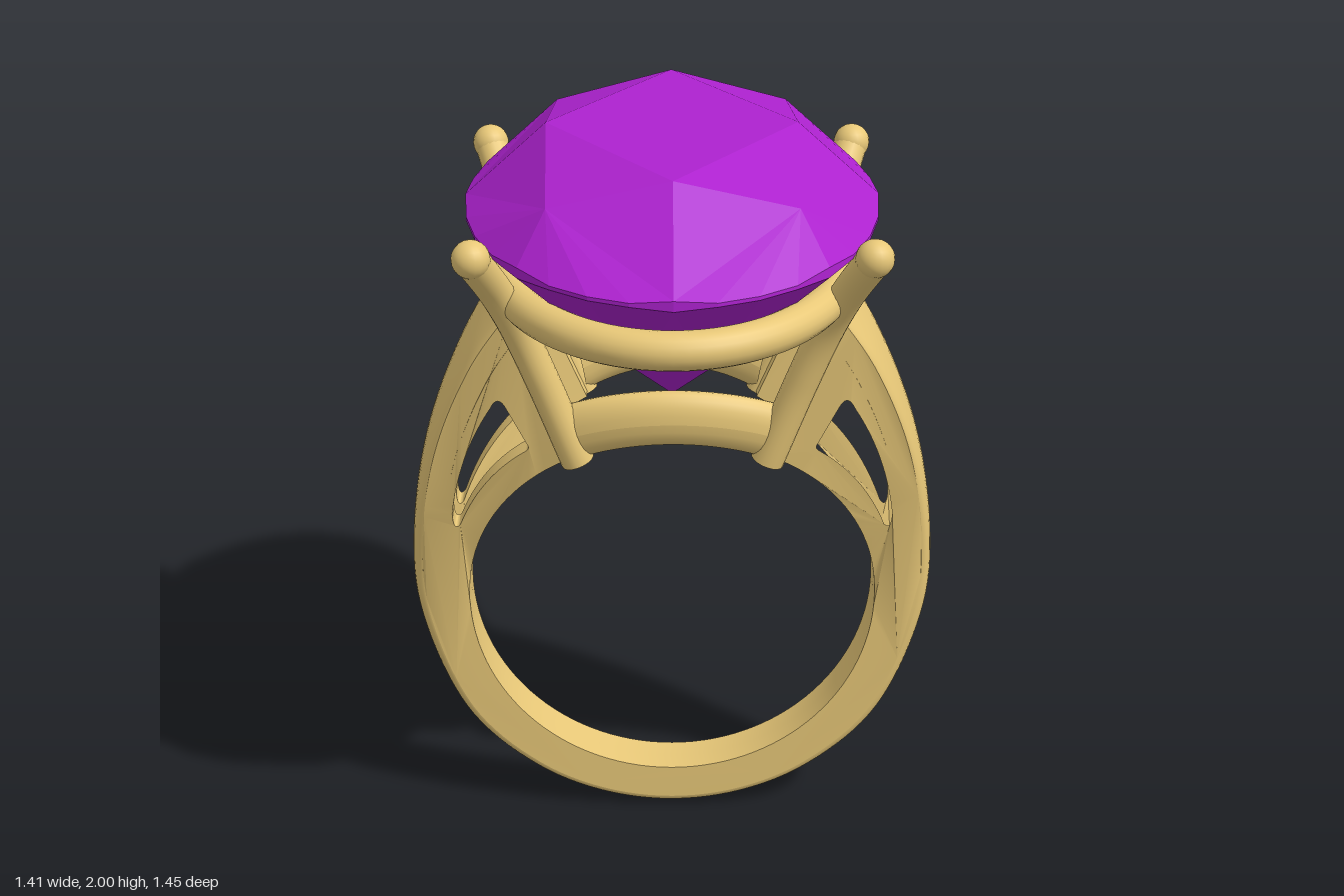
import * as THREE from 'three';
import { toCreasedNormals } from 'three/addons/utils/BufferGeometryUtils.js';

const gold = new THREE.MeshStandardMaterial({ color: 0xe8c878 });
const goldSkin = new THREE.MeshStandardMaterial({ color: 0xe8c878, side: THREE.DoubleSide });
const purple = new THREE.MeshStandardMaterial({ color: 0xae22d0, flatShading: true });

const FINGER_Y = 0.675, FINGER_R = 0.55;

function add(parent, name, geometry, material = gold) {
  const mesh = new THREE.Mesh(geometry, material);
  mesh.name = name;
  parent.add(mesh);
  return mesh;
}

// Half width of the band, growing with the angle above the finger centre
function halfWidth(x, y) {
  const a = THREE.MathUtils.radToDeg(Math.atan2(y - FINGER_Y, Math.abs(x)));
  const t = a - 8;
  return 0.066 + 0.0013 * (t + Math.sqrt(t * t + 30));
}

// Outer outline, from the left shoulder round the bottom to the right one
function outline() {
  const half = [[0.43, 1.6], [0.545, 1.42], [0.65, 1.155], [0.7, 0.85], [0.69, 0.62],
    [0.57, 0.3], [0.385, 0.118], [0.2, 0.03]];
  const pts = [...half, [0, 0], ...half.slice().reverse().map(([x, y]) => [-x, y])];
  const curve = new THREE.CatmullRomCurve3(pts.map(([x, y]) => new THREE.Vector3(x, y, 0)));
  const stations = [];
  for (let i = 0; i <= 120; i++) {
    const p = curve.getPointAt(i / 120), t = curve.getTangentAt(i / 120);
    stations.push({ x: p.x, y: p.y, nx: -t.y, ny: t.x });
  }
  // make the normals point outward
  const s = stations[60].ny > 0 ? -1 : 1;
  return stations.map((o) => ({ x: o.x, y: o.y, nx: o.nx * s, ny: o.ny * s }));
}

// Skin across the band; depth(c) is the offset below the outline
function skin(stations, depth) {
  const n = 14, pos = [], idx = [];
  stations.forEach((o, i) => {
    for (let j = 0; j <= n; j++) {
      const th = (j / n - 0.5) * Math.PI, d = depth(Math.cos(th));
      const x = o.x - o.nx * d, y = o.y - o.ny * d;
      pos.push(x, y, Math.sin(th) * halfWidth(x, y));
      if (i && j) {
        const a = (i - 1) * (n + 1) + j - 1, b = a + n + 1;
        idx.push(a, a + 1, b, b, a + 1, b + 1);
      }
    }
  });
  const g = new THREE.BufferGeometry();
  g.setAttribute('position', new THREE.Float32BufferAttribute(pos, 3));
  g.setIndex(idx);
  g.computeVertexNormals();
  return g;
}

// One side wall of the band with a window in each shoulder
function wall(stations) {
  const pts = stations.map((o) => new THREE.Vector2(o.x - o.nx * 0.03, o.y - o.ny * 0.03));
  for (let i = 0; i <= 100; i++) {
    const a = THREE.MathUtils.degToRad(114.7 + (310.6 * i) / 100);
    pts.push(new THREE.Vector2(FINGER_R * Math.cos(a), FINGER_Y + FINGER_R * Math.sin(a)));
  }
  const shape = new THREE.Shape(pts);
  const hole = new THREE.Path().moveTo(0.375, 1.185).lineTo(0.43, 1.295);
  hole.quadraticCurveTo(0.45, 1.335, 0.47, 1.29);
  hole.quadraticCurveTo(0.56, 1.14, 0.585, 0.95);
  hole.quadraticCurveTo(0.585, 0.89, 0.565, 0.915);
  hole.quadraticCurveTo(0.505, 1.076, 0.385, 1.165);
  hole.quadraticCurveTo(0.37, 1.175, 0.375, 1.185);
  const rim = hole.getPoints(14);
  for (const s of [1, -1]) {
    shape.holes.push(new THREE.Path(rim.map((p) => new THREE.Vector2(p.x * s, p.y))));
  }
  const g = new THREE.ExtrudeGeometry(shape, { depth: 1, bevelEnabled: false });
  const p = g.attributes.position;
  for (let i = 0; i < p.count; i++) {
    const w = halfWidth(p.getX(i), p.getY(i));
    p.setZ(i, p.getZ(i) > 0.5 ? w : Math.max(0, w - 0.07));
  }
  return toCreasedNormals(g, 0.6);
}

// Oval brilliant-cut stone: table, stars, kites, girdle and pavilion
function stone() {
  const pos = [], centre = new THREE.Vector3(0, 1.7, 0);
  const at = (k, r, y) => {
    const a = (k / 32) * Math.PI * 2;
    return new THREE.Vector3(0.527 * r * Math.cos(a), y, 0.725 * r * Math.sin(a));
  };
  const tri = (a, b, c) => {
    const n = b.clone().sub(a).cross(c.clone().sub(a));
    const out = n.dot(a.clone().add(b).add(c).divideScalar(3).sub(centre)) > 0;
    for (const v of out ? [a, b, c] : [a, c, b]) pos.push(v.x, v.y, v.z);
  };
  const table = (k) => at(k, 0.605, 2);
  const star = (k) => at(k, 0.82, 1.924);
  const low = (k) => at(k, 0.25, 1.25 + 0.535 * 0.25 * 0.924);
  const top = (k) => at(k, 1, k % 4 ? 1.8 : 1.81);
  const under = (k) => at(k, 1, k % 4 ? 1.79 : 1.783);
  const tip = new THREE.Vector3(0, 1.25, 0), middle = new THREE.Vector3(0, 2, 0);
  for (let k = 0; k < 32; k += 4) {
    if (k % 8 === 0) {
      tri(middle, table(k), table(k + 8));
      tri(table(k), table(k + 8), star(k + 4));
      for (const s of [4, -4]) {
        tri(table(k), star(k + s), top(k));
        tri(tip, low(k + s), under(k));
      }
      for (let j = k; j < k + 8; j++) {
        tri(star(k + 4), top(j), top(j + 1));
        tri(low(k + 4), under(j), under(j + 1));
      }
    }
    for (let j = k; j < k + 4; j++) {
      tri(top(j), top(j + 1), under(j));
      tri(under(j), under(j + 1), top(j + 1));
    }
  }
  const g = new THREE.BufferGeometry();
  g.setAttribute('position', new THREE.Float32BufferAttribute(pos, 3));
  g.computeVertexNormals();
  return g;
}

// Arched bridge between two prongs, taller than it is thick
function bridge(sz) {
  const arch = (x) => FINGER_Y + Math.sqrt(0.62 * 0.62 - x * x);
  const pts = [];
  for (let i = -6; i <= 6; i++) {
    const x = (0.25 * i) / 6;
    pts.push(new THREE.Vector3(x, arch(x), sz * (0.25 - 0.6 * x * x)));
  }
  const g = new THREE.TubeGeometry(new THREE.CatmullRomCurve3(pts), 40, 0.04, 20);
  const p = g.attributes.position;
  for (let i = 0; i < p.count; i++) {
    const y = arch(p.getX(i));
    p.setY(i, y + (p.getY(i) - y) * 1.85);
  }
  g.computeVertexNormals();
  return g;
}

// Curved prong with a flat foot and a ball tip
function prong(sx, sz) {
  const group = new THREE.Group();
  group.name = 'prong';
  const pts = [[0.245, 1.16, 0.22], [0.33, 1.39, 0.233], [0.39, 1.55, 0.262],
    [0.435, 1.67, 0.325], [0.487, 1.8, 0.432]].map(([x, y, z]) => new THREE.Vector3(x * sx, y, z * sz));
  const curve = new THREE.CatmullRomCurve3(pts);
  add(group, 'prongStem', new THREE.TubeGeometry(curve, 32, 0.044, 18));
  add(group, 'prongTip', new THREE.SphereGeometry(0.048, 20, 14)).position.copy(pts[4]);
  const foot = add(group, 'prongFoot', new THREE.CircleGeometry(0.044, 18));
  foot.position.copy(pts[0]);
  foot.lookAt(pts[0].clone().sub(curve.getTangent(0)));
  return group;
}

export function createModel() {
  const model = new THREE.Group();
  model.name = 'ring';

  // Band: domed outside, two walls and the inner face of the hollow shoulders
  const band = new THREE.Group();
  band.name = 'band';
  model.add(band);
  const stations = outline();
  add(band, 'outerSkin', skin(stations, (c) => 0.03 * (1 - c)), goldSkin);
  add(band, 'innerSkin', skin(stations, () => 0.085), goldSkin);
  const side = wall(stations);
  add(band, 'frontWall', side);
  add(band, 'backWall', side).scale.z = -1;

  // Setting: oval rail, bridges and prongs
  const loop = [];
  for (let i = 0; i < 48; i++) {
    const a = (i / 48) * Math.PI * 2;
    loop.push(new THREE.Vector3(0.44 * Math.cos(a), 1.633, 0.603 * Math.sin(a)));
  }
  add(model, 'ovalRail', new THREE.TubeGeometry(new THREE.CatmullRomCurve3(loop, true), 96, 0.049, 18, true));
  for (const sz of [1, -1]) {
    add(model, sz > 0 ? 'frontBridge' : 'backBridge', bridge(sz));
    for (const sx of [1, -1]) model.add(prong(sx, sz));
  }

  add(model, 'stone', stone(), purple);
  return model;
}
